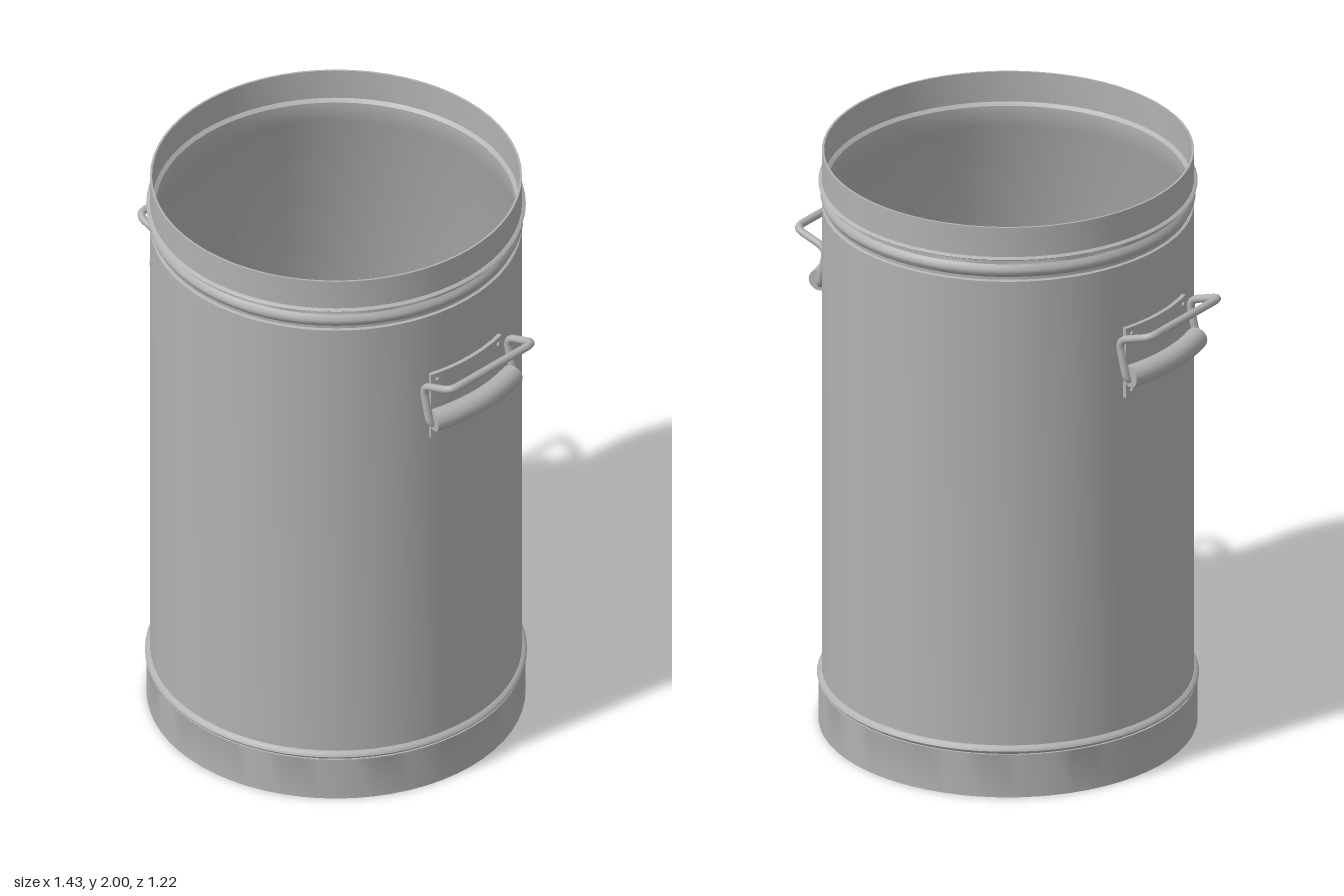
import * as THREE from 'three';
import { toCreasedNormals } from 'three/addons/utils/BufferGeometryUtils.js';

const steel = new THREE.MeshStandardMaterial({ color: 0xb2b2b2 });
steel.name = 'greySteel';

function add(parent, name, geometry) {
  const mesh = new THREE.Mesh(geometry, steel);
  mesh.name = name;
  parent.add(mesh);
  return mesh;
}

// Surface of revolution with sharp profile corners kept sharp
function turned(points) {
  const profile = points.map(([r, y]) => new THREE.Vector2(r, y));
  return toCreasedNormals(new THREE.LatheGeometry(profile, 64), 0.6);
}

// Half-round bead bulging outward between two heights
function bead(r, bulge, y0, y1, steps = 6) {
  return Array.from({ length: steps + 1 }, (_, i) => {
    const t = i / steps;
    return [r + bulge * Math.sin(Math.PI * t), y0 + (y1 - y0) * t];
  });
}

// Polyline with rounded corners
function roundedPath(points, radius) {
  const path = new THREE.CurvePath();
  let from = points[0];
  for (let i = 1; i < points.length - 1; i++) {
    const p = points[i];
    const toward = (q) => {
      const d = q.clone().sub(p);
      return p.clone().addScaledVector(d.normalize(), Math.min(radius, p.distanceTo(q) * 0.45));
    };
    const a = toward(points[i - 1]);
    const b = toward(points[i + 1]);
    path.add(new THREE.LineCurve3(from, a));
    path.add(new THREE.QuadraticBezierCurve3(a, p, b));
    from = b;
  }
  path.add(new THREE.LineCurve3(from, points[points.length - 1]));
  return path;
}

// Handle assembly on the +x side
function createHandle(name) {
  const handle = new THREE.Group();
  handle.name = name;

  // Curved mounting plate hugging the wall
  const half = Math.asin(0.16 / 0.605);
  const section = new THREE.Shape();
  section.absarc(0, 0, 0.607, -half, half, false);
  section.absarc(0, 0, 0.588, half, -half, true);
  section.closePath();
  const plate = new THREE.ExtrudeGeometry(section, { depth: 0.245, bevelEnabled: false, curveSegments: 12 });
  plate.rotateX(-Math.PI / 2).translate(0, 1.345, 0);
  add(handle, 'mountingPlate', toCreasedNormals(plate, 0.6));

  // Corner rivets
  const rivetAngle = Math.asin(0.137 / 0.607);
  for (const y of [1.367, 1.566]) {
    for (const side of [-1, 1]) {
      const rivet = new THREE.CylinderGeometry(0.006, 0.008, 0.008, 10);
      rivet.rotateZ(-Math.PI / 2).translate(0.609, 0, 0).rotateY(side * rivetAngle);
      add(handle, 'rivet', rivet.translate(0, y, 0));
    }
  }

  // Curved grip tube with flat ends
  const gripHalf = Math.asin(0.18 / 0.64);
  const grip = new THREE.TorusGeometry(0.64, 0.037, 20, 20, gripHalf * 2);
  grip.rotateZ(-gripHalf).rotateX(-Math.PI / 2).translate(0, 1.437, 0);
  add(handle, 'gripSleeve', grip);
  for (const side of [-1, 1]) {
    const cap = new THREE.CircleGeometry(0.037, 20);
    if (side < 0) cap.rotateY(Math.PI);
    cap.translate(0.64, 0, 0).rotateY(side < 0 ? gripHalf : -gripHalf);
    if (side < 0) cap.translate(1.28 * Math.cos(gripHalf), 0, 0);
    // Place both caps by the sleeve's end tangent
    const end = new THREE.CircleGeometry(0.037, 20);
    if (side < 0) end.rotateY(Math.PI);
    end.translate(0.64, 0, 0).rotateY(-side * gripHalf);
    add(handle, 'gripEnd', end.translate(0, 1.437, 0));
  }

  // Bent wire bail
  const halfBail = [[0.612, 1.437, 0.15], [0.612, 1.42, 0.19], [0.578, 1.56, 0.19], [0.703, 1.602, 0.19]];
  const near = halfBail.map((p) => new THREE.Vector3(...p));
  const far = near.map((p) => new THREE.Vector3(p.x, p.y, -p.z)).reverse();
  const bail = new THREE.TubeGeometry(roundedPath([...near, ...far], 0.036), 140, 0.013, 10, false);
  add(handle, 'wireBail', bail);
  return handle;
}

export function createModel() {
  const model = new THREE.Group();
  model.name = 'metalBin';

  // Open shell: base band, wall, rolled beads, rim and inside
  add(model, 'shell', turned([
    [0, 0], [0.605, 0], [0.605, 0.15],
    ...bead(0.598, 0.012, 0.15, 0.176),
    [0.594, 0.178], [0.594, 1.81],
    [0.585, 1.813], [0.585, 1.823],
    ...bead(0.587, 0.012, 1.824, 1.868),
    [0.587, 1.884],
    ...bead(0.594, 0.012, 1.886, 1.897, 4),
    [0.594, 2], [0.587, 2], [0.587, 1.895],
    [0.575, 1.885], [0.575, 1.815], [0.584, 1.8],
    [0.584, 0.03], [0, 0.03],
  ]));

  const left = createHandle('leftHandle');
  const right = createHandle('rightHandle');
  right.rotation.y = Math.PI;
  model.add(left, right);
  return model;
}
